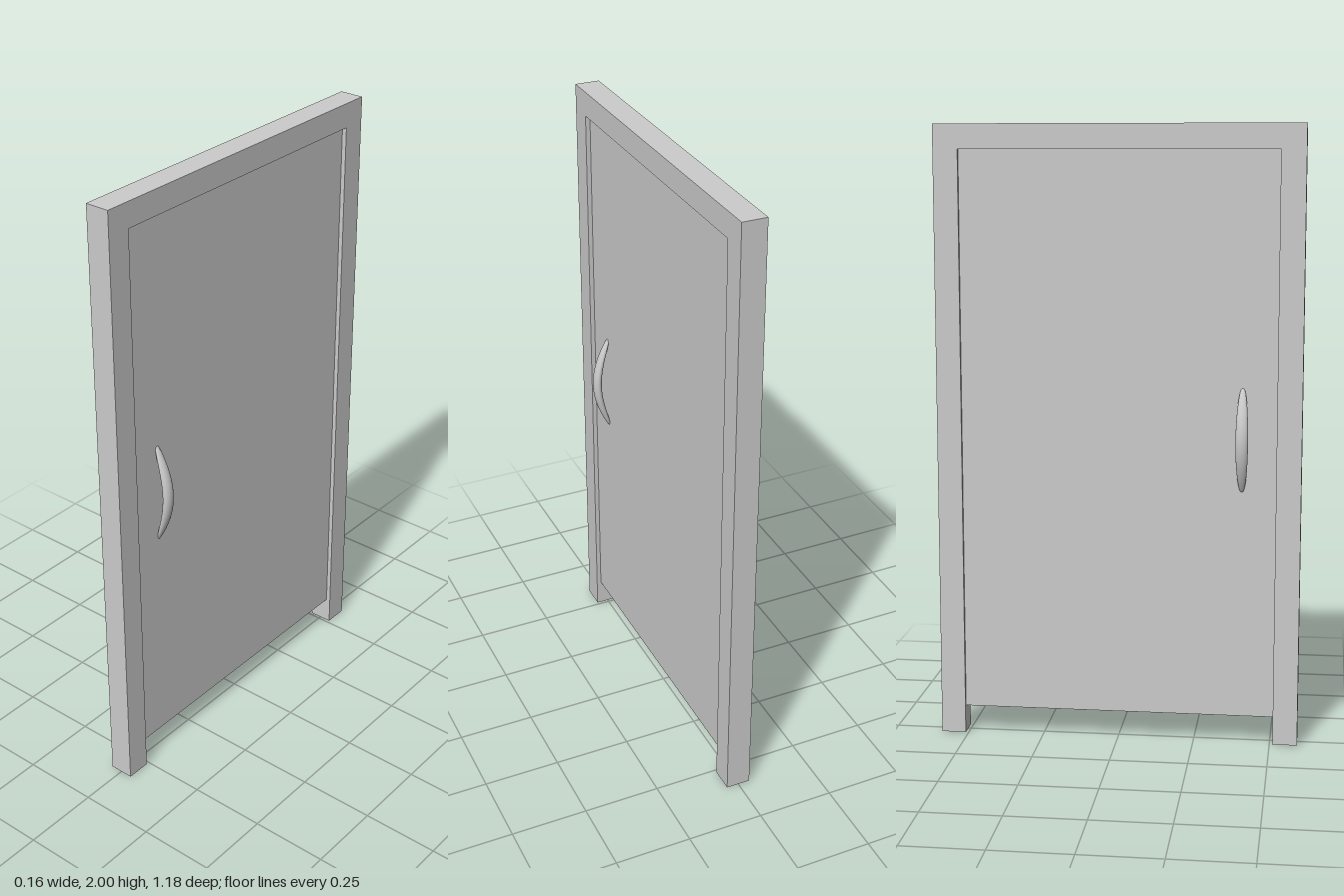
import * as THREE from 'three';

const material = new THREE.MeshStandardMaterial({ color: 0xcccccc });

function addMesh(parent, name, geometry, x = 0, y = 0, z = 0) {
  const mesh = new THREE.Mesh(geometry, material);
  mesh.name = name;
  mesh.position.set(x, y, z);
  parent.add(mesh);
  return mesh;
}

// Door frame: one U-shaped outline, open at the floor
function frameGeometry(halfWidth, height, post, depth) {
  const inner = halfWidth - post;
  const shape = new THREE.Shape([
    [-halfWidth, 0], [-inner, 0], [-inner, height - post], [inner, height - post],
    [inner, 0], [halfWidth, 0], [halfWidth, height], [-halfWidth, height],
  ].map(([x, y]) => new THREE.Vector2(x, y)));
  return new THREE.ExtrudeGeometry(shape, { depth, bevelEnabled: false })
    .translate(0, 0, -depth / 2)
    .rotateY(Math.PI / 2);
}

// Bow handle: a stretched ellipsoid bent outwards along its length
function handleGeometry(side) {
  const halfLength = 0.172;
  const geometry = new THREE.SphereGeometry(1, 24, 32);
  const pos = geometry.attributes.position;
  for (let i = 0; i < pos.count; i++) {
    const t = pos.getY(i);
    const bow = 0.022 + 0.045 * Math.cos(t * Math.PI / 2);
    pos.setXYZ(i, pos.getX(i) * 0.014 + side * bow, t * halfLength, pos.getZ(i) * 0.02);
  }
  geometry.computeVertexNormals();
  return geometry;
}

export function createModel() {
  const group = new THREE.Group();
  group.name = 'door';

  addMesh(group, 'doorFrame', frameGeometry(0.59, 2, 0.08, 0.08));

  // Leaf sits slightly recessed in the frame, with a gap at the floor
  const bottom = 0.09, top = 1.92;
  const leaf = new THREE.BoxGeometry(0.054, top - bottom, 1.02);
  addMesh(group, 'doorLeaf', leaf, -0.002, (top + bottom) / 2, 0);

  // Handles on both faces
  for (const side of [1, -1]) {
    addMesh(group, side > 0 ? 'leftHandle' : 'rightHandle', handleGeometry(side), -0.002, 1.003, 0.4);
  }
  return group;
}
